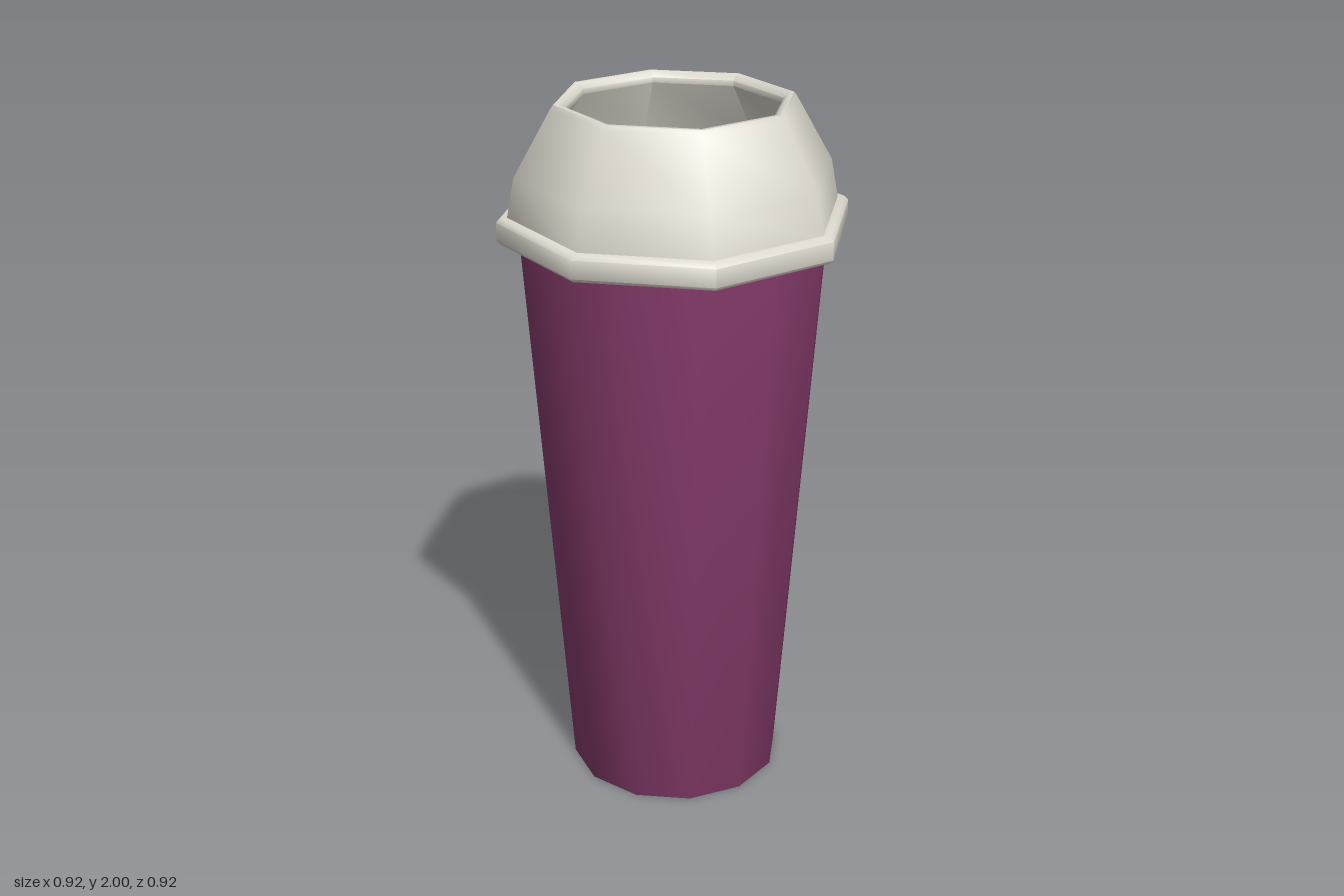
import * as THREE from 'three';
import { toCreasedNormals } from 'three/addons/utils/BufferGeometryUtils.js';

const lathe = (profile, sides, turn = 0) =>
  new THREE.LatheGeometry(profile.map(([r, y]) => new THREE.Vector2(r, y)), sides, turn, Math.PI * 2);

export function createModel() {
  const group = new THREE.Group();
  const add = (name, geometry, color) => {
    const mesh = new THREE.Mesh(geometry, new THREE.MeshStandardMaterial({ color }));
    mesh.name = name;
    group.add(mesh);
  };

  // Twelve-sided tapering cup with a softly shaded closed base
  add('cup', lathe([[0, 0], [0.305, 0], [0.427, 1.68]], 12), 0x883c6c);

  // Drink surface just under the dome
  add('drink', lathe([[0.427, 1.68], [0.42, 1.7], [0, 1.705]], 12), 0xd49aa6);

  // Eight-sided lid: skirt and open dome as hollow shells, turned slightly
  const turn = THREE.MathUtils.degToRad(19.2);
  const lidShell = (profile) => toCreasedNormals(lathe(profile, 8, turn), THREE.MathUtils.degToRad(50));
  add('lidSkirt', lidShell([
    [0.44, 1.69], [0.44, 1.63], [0.478, 1.63], [0.487, 1.64], [0.487, 1.69], [0.475, 1.702], [0.44, 1.702],
  ]), 0xdedad0);
  add('lidDome', lidShell([
    [0.458, 1.695], [0.436, 1.81], [0.333, 1.99], [0.325, 2], [0.312, 2],
    [0.297, 1.985], [0.297, 1.97], [0.415, 1.8], [0.435, 1.695],
  ]), 0xdedad0);

  return group;
}
